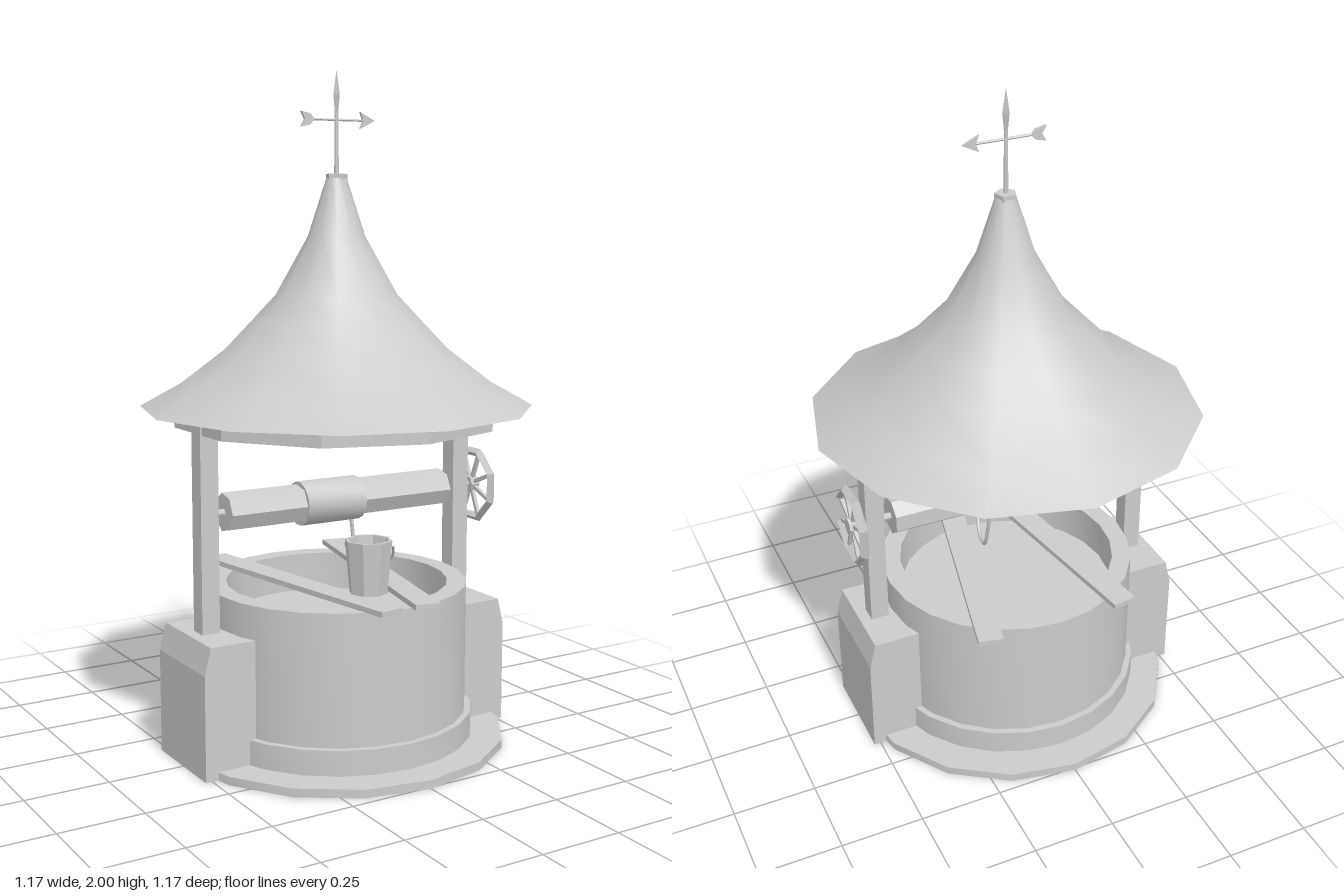
import * as THREE from 'three';
import { toCreasedNormals } from 'three/addons/utils/BufferGeometryUtils.js';

const smooth = new THREE.MeshStandardMaterial({ color: 0xcccccc });
const flat = new THREE.MeshStandardMaterial({ color: 0xcccccc, flatShading: true });

export function createModel() {
  const model = new THREE.Group();

  const add = (name, geometry, material = flat, position = [0, 0, 0], parent = model) => {
    const mesh = new THREE.Mesh(geometry, material);
    mesh.name = name;
    mesh.position.set(...position);
    parent.add(mesh);
    return mesh;
  };
  // Turned shape with sharp corners and soft sides
  const turned = (points, sides) =>
    toCreasedNormals(new THREE.LatheGeometry(points.map(p => new THREE.Vector2(...p)), sides), 0.7);
  // Rectangular-section ring
  const ring = (outer, inner, y0, y1, sides) =>
    turned([[outer, y0], [outer, y1], [inner, y1], [inner, y0], [outer, y0]], sides);
  // Cylinder lying along x
  const bar = (radius, length, sides) =>
    new THREE.CylinderGeometry(radius, radius, length, sides).rotateZ(Math.PI / 2);

  // Stone base, wall and water
  add('base', turned([[0, 0], [0.51, 0], [0.51, 0.025], [0, 0.025]], 16), smooth);
  add('foundationRing', ring(0.412, 0.36, 0.02, 0.1, 24), smooth);
  add('wall', ring(0.393, 0.335, 0.02, 0.49, 24), smooth);
  add('water', new THREE.CircleGeometry(0.345, 24).rotateX(-Math.PI / 2), smooth, [0, 0.37, 0]);

  // Side piers and posts
  const pier = new THREE.Shape([[0.345, 0], [0.52, 0], [0.52, 0.31], [0.5, 0.39], [0.345, 0.39]]
    .map(p => new THREE.Vector2(...p)));
  const pierGeometry = new THREE.ExtrudeGeometry(pier, { depth: 0.3, bevelEnabled: false });
  pierGeometry.translate(0, 0, -0.15);
  for (const side of [1, -1]) {
    add('pier', pierGeometry).rotation.y = side > 0 ? 0 : Math.PI;
    add('post', new THREE.BoxGeometry(0.056, 0.64, 0.056), flat, [side * 0.438, 0.7, 0]);
  }

  // Roof with eave ring, cross beam and cap
  add('roof', turned([[0, 1.02], [0.585, 1.02], [0.46, 1.09], [0.33, 1.19], [0.25, 1.275],
    [0.18, 1.35], [0.085, 1.52], [0.03, 1.69], [0, 1.69]], 12), smooth);
  add('eaveRing', ring(0.485, 0.41, 0.97, 1.022, 10));
  add('crossBeam', new THREE.BoxGeometry(0.9, 0.045, 0.056), flat, [0, 0.998, 0]);
  add('roofCap', new THREE.CylinderGeometry(0.033, 0.033, 0.018, 5), flat, [0, 1.693, 0]);

  // Weather vane
  const vane = new THREE.Group();
  vane.name = 'weatherVane';
  model.add(vane);
  add('vanePole', new THREE.CylinderGeometry(0.005, 0.007, 0.22, 6), flat, [0, 1.8, 0], vane);
  add('vaneSpike', turned([[0, 1.82], [0.011, 1.93], [0, 2]], 4), flat, [0, 0, 0], vane);
  add('vaneBar', bar(0.004, 0.2, 6), flat, [0, 1.857, 0], vane);
  const plate = points => {
    const shape = new THREE.Shape(points.map(p => new THREE.Vector2(...p)));
    return new THREE.ExtrudeGeometry(shape, { depth: 0.008, bevelEnabled: false }).translate(0, 0, -0.004);
  };
  add('vaneHead', plate([[0.08, -0.024], [0.13, 0], [0.08, 0.024], [0.09, 0]]), flat, [0, 1.857, 0], vane);
  add('vaneTail', plate([[-0.12, -0.022], [-0.09, -0.016], [-0.075, 0], [-0.09, 0.016], [-0.12, 0.022], [-0.107, 0]]),
    flat, [0, 1.857, 0], vane);

  // Winch drum, axle and rope coil
  const axleY = 0.735;
  add('axle', bar(0.011, 0.93, 8), flat, [0.045, axleY, 0]);
  add('drum', bar(0.058, 0.76, 7), flat, [0, axleY, 0]);
  add('ropeCoil', toCreasedNormals(bar(0.066, 0.2, 14), 0.7), smooth, [-0.032, axleY, 0]);

  // Hand wheel
  const wheel = new THREE.Group();
  wheel.name = 'handWheel';
  wheel.position.set(0.5, axleY, 0);
  model.add(wheel);
  add('wheelRim', new THREE.TorusGeometry(0.111, 0.014, 4, 8).rotateZ(Math.PI / 8).rotateY(Math.PI / 2),
    flat, [0, 0, 0], wheel);
  add('wheelHub', bar(0.026, 0.03, 8), flat, [0, 0, 0], wheel);
  for (let i = 0; i < 8; i++) {
    const spoke = new THREE.BoxGeometry(0.011, 0.1, 0.011).translate(0, 0.06, 0);
    add('spoke', spoke, flat, [0, 0, 0], wheel).rotation.x = (i + 0.5) * Math.PI / 4;
  }

  // Loose planks across the rim
  for (const [x0, z0, x1, z1] of [[0.04, 0.43, 0.23, -0.4], [-0.08, 0.43, -0.21, -0.4]]) {
    const length = Math.hypot(x1 - x0, z1 - z0);
    const plank = add('plank', new THREE.BoxGeometry(0.075, 0.016, length), flat,
      [(x0 + x1) / 2, 0.498, (z0 + z1) / 2]);
    plank.rotation.y = Math.atan2(x1 - x0, z1 - z0);
  }

  // Bucket with a dropped handle
  const bucket = new THREE.Group();
  bucket.name = 'bucket';
  bucket.position.set(-0.035, 0.506, 0.235);
  model.add(bucket);
  add('pail', turned([[0, 0], [0.056, 0], [0.07, 0.155], [0.06, 0.155], [0.048, 0.015], [0, 0.015]], 8),
    flat, [0, 0, 0], bucket);
  const tube = (points, radius) => new THREE.TubeGeometry(
    new THREE.CatmullRomCurve3(points.map(p => new THREE.Vector3(...p))), 16, radius, 5);
  add('handle', tube([[0.055, 0.14, 0.045], [0.085, 0.09, -0.01], [0.06, 0.06, -0.065],
    [0, 0.09, -0.085], [-0.045, 0.14, -0.055]], 0.004), smooth, [0, 0, 0], bucket);

  // Slack rope from handle to coil
  add('rope', tube([[0.025, 0.57, 0.17], [0.035, 0.53, 0.14], [0.045, 0.495, 0.1], [0.052, 0.5, 0.05],
    [0.052, 0.58, 0.02], [0.045, 0.68, 0.01]], 0.006), smooth);

  return model;
}
